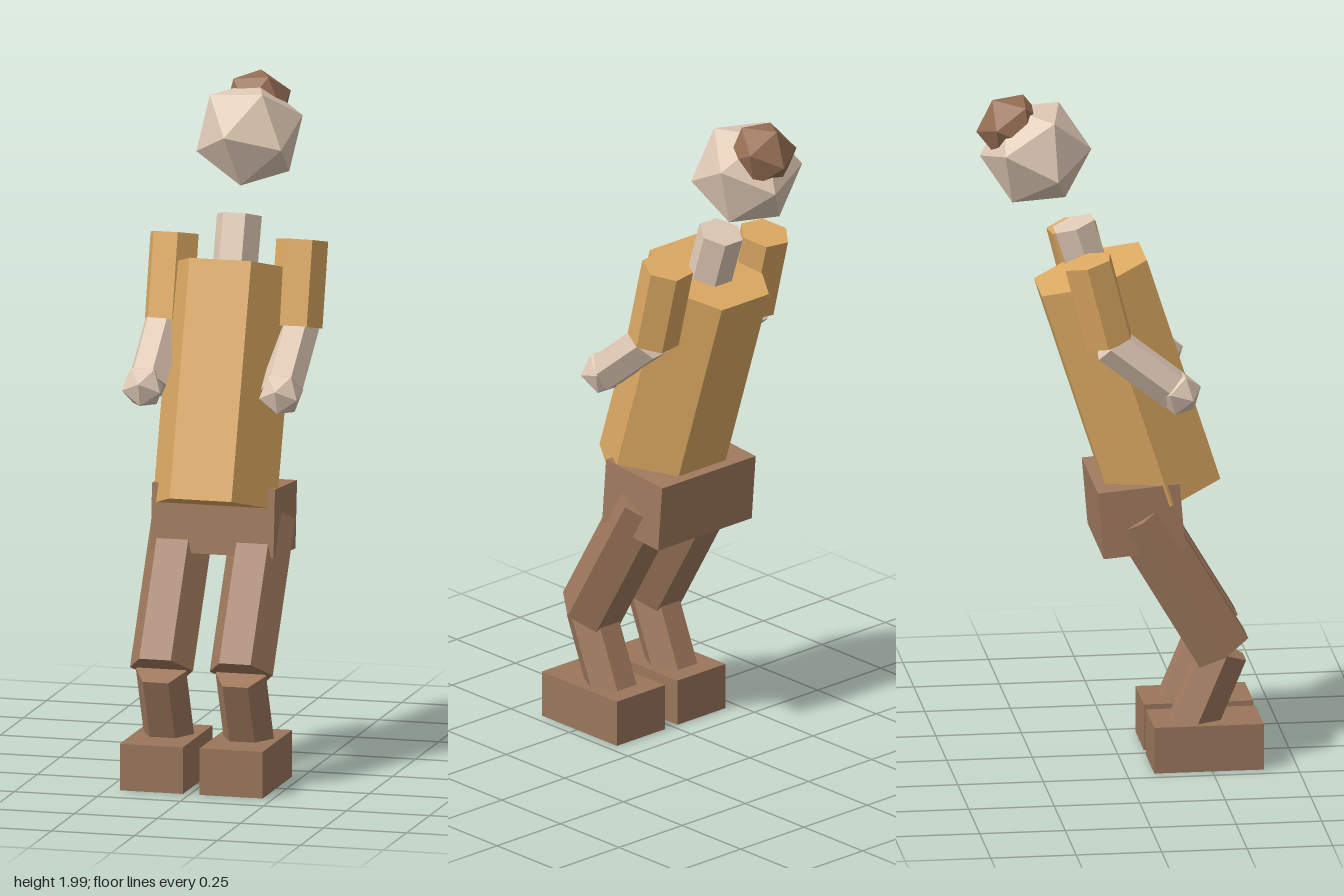
import * as THREE from 'three';

const mat = (name, color) => new THREE.MeshStandardMaterial({ name, color, flatShading: true });

export function createModel() {
  const model = new THREE.Group();
  model.name = 'figure';
  const tunic = mat('ochre tunic', 0xdca962);
  const skin = mat('pale skin', 0xdfc9b5);
  const trousers = mat('brown trousers', 0xa07a5e);
  const shoes = mat('brown shoes', 0x9a765b);
  const hair = mat('dark brown hair', 0x966f54);

  const add = (name, geometry, material, x, y, z) => {
    const mesh = new THREE.Mesh(geometry, material);
    mesh.name = name;
    mesh.position.set(x, y, z);
    model.add(mesh);
    return mesh;
  };

  // Six-sided prism running between two [y, z] points, flat side to the front
  const prism = (name, material, radius, x, low, high, twist = 0) => {
    const dy = high[0] - low[0], dz = high[1] - low[1];
    const geometry = new THREE.CylinderGeometry(radius, radius, Math.hypot(dy, dz), 6);
    geometry.rotateY(Math.PI / 6 + twist);
    const mesh = add(name, geometry, material, x, (low[0] + high[0]) / 2, (low[1] + high[1]) / 2);
    mesh.rotation.x = Math.atan2(dz, dy);
    return mesh;
  };

  // Icosahedron turned so that two neighbouring corners point along a and b
  const gem = (name, material, radius, position, a, b) => {
    const va = new THREE.Vector3(...a).normalize();
    const vb = new THREE.Vector3(...b).normalize();
    const yAxis = va.clone().add(vb).normalize();
    const xAxis = va.clone().sub(vb).normalize();
    const zAxis = xAxis.clone().cross(yAxis);
    const geometry = new THREE.IcosahedronGeometry(radius, 0);
    geometry.applyMatrix4(new THREE.Matrix4().makeBasis(xAxis, yAxis, zAxis));
    return add(name, geometry, material, ...position);
  };

  // Leaning trunk
  prism('torso', tunic, 0.186, 0.002, [0.8, 0.135], [1.47, -0.08]);
  prism('neck', skin, 0.0675, 0.003, [1.44, -0.075], [1.61, -0.13]);
  const pelvis = add('pelvis', new THREE.BoxGeometry(0.37, 0.2, 0.24), trousers, 0.005, 0.755, 0.047);
  pelvis.rotation.x = -0.085;

  // Head and hair bun
  gem('head', skin, 0.163, [0.003, 1.83, -0.24], [-0.227, 0.08, 0.97], [-0.887, -0.31, 0.31]);
  gem('hairBun', hair, 0.103, [0.008, 1.907, -0.31], [-0.05, 0.83, -0.55], [-0.85, 0.13, -0.53]);

  for (const [side, s] of [['left', 1], ['right', -1]]) {
    // Arms
    const armX = 0.005 + s * 0.192;
    prism(side + 'UpperArm', tunic, 0.076, armX, [1.305, -0.05], [1.55, -0.112], s * 0.14);
    prism(side + 'Forearm', skin, 0.06, 0.002 + s * 0.202, [1.15, 0.145], [1.305, -0.05], s * 0.1);
    gem(side + 'Hand', skin, 0.067, [s * 0.207, 1.148, 0.152], [-s * 0.05, 0.27, 0.95], [s * 0.85, -0.15, 0.5]);

    // Legs
    const legX = 0.005 + s * 0.12;
    prism(side + 'Thigh', trousers, 0.095, legX, [0.343, 0.29], [0.757, 0.045]);
    prism(side + 'Shin', trousers, 0.076, legX, [0.09, 0.19], [0.341, 0.295]);
    add(side + 'Foot', new THREE.BoxGeometry(0.19, 0.138, 0.32), shoes, legX, 0.069, 0.24);
  }
  return model;
}
